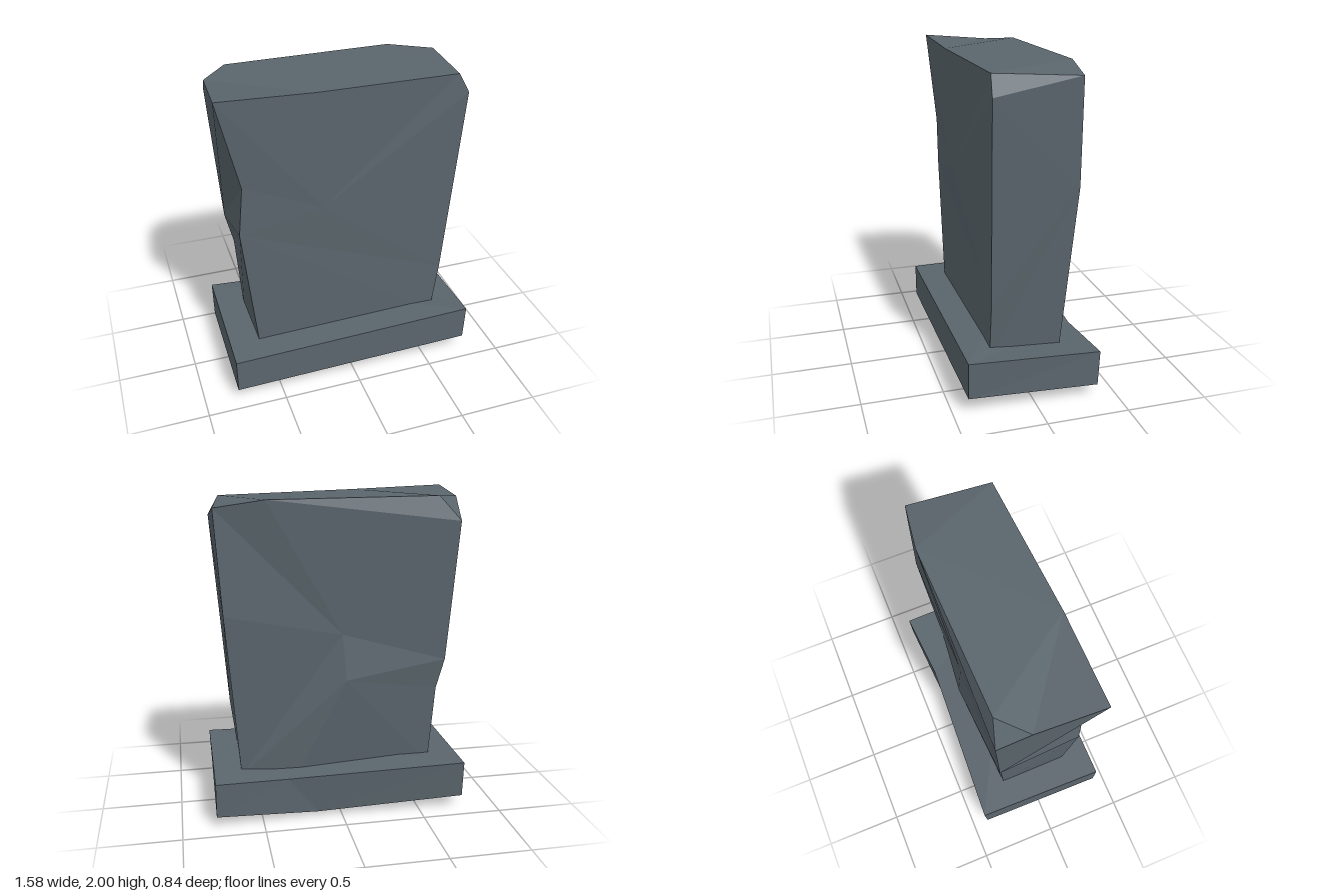
import * as THREE from 'three';

const stone = new THREE.MeshStandardMaterial({ color: 0x5a656c });
stone.name = 'slate grey stone';

// Faceted surface from triangle fans around a hub point
function facets(name, fans) {
  const pos = [];
  for (const { hub, rim, closed } of fans) {
    const n = closed ? rim.length : rim.length - 1;
    for (let i = 0; i < n; i++) pos.push(...hub, ...rim[i], ...rim[(i + 1) % rim.length]);
  }
  const geo = new THREE.BufferGeometry();
  geo.setAttribute('position', new THREE.Float32BufferAttribute(pos, 3));
  geo.computeVertexNormals(); // unshared corners keep every facet flat
  const mesh = new THREE.Mesh(geo, stone);
  mesh.name = name;
  return mesh;
}
const fan = (hub, ...rim) => ({ hub, rim, closed: false });
const disc = (hub, ...rim) => ({ hub, rim, closed: true });

// Rough plinth: two five-sided loops and a blunt underside
function plinth() {
  const t = [[-0.79, 0.3, 0.42], [0.79, 0.33, 0.41], [0.79, 0.29, -0.4], [0.34, 0.275, -0.365], [-0.78, 0.315, -0.42]];
  const q = [[-0.79, 0.08, 0.42], [0.78, 0.1, 0.41], [0.79, 0.07, -0.39], [0.15, 0.03, -0.35], [-0.78, 0.08, -0.4]];
  const fans = [fan(t[1], t[2], t[3], t[4], t[0])];
  for (let i = 0; i < 5; i++) {
    const j = (i + 1) % 5;
    fans.push(fan(q[i], q[j], t[j], t[i]));
  }
  fans.push(disc([0.47, 0, -0.02], ...[...q].reverse()));
  return facets('plinth', fans);
}

// Weathered upright slab, wider at the top, with two chipped corners
function slab() {
  // front outline, anticlockwise from the lower -x corner
  const f = [[-0.595, 0.25, 0.24], [0.605, 0.25, 0.235], [0.65, 0.6, 0.235], [0.745, 1.84, 0.253], [0.68, 1.96, 0.243],
    [-0.2, 1.98, 0.29], [-0.78, 2, 0.293], [-0.65, 1.44, 0.26], [-0.68, 1.12, 0.25]];
  // back outline, anticlockwise from the lower +x corner as seen from behind
  const b = [[0.615, 0.25, -0.2], [0.26, 0.25, -0.235], [-0.6, 0.25, -0.205], [-0.63, 0.77, -0.24], [-0.675, 0.965, -0.265],
    [-0.73, 1.835, -0.315], [-0.6, 1.983, -0.275], [0.44, 1.98, -0.305], [0.74, 1.935, -0.262], [0.7, 1.3, -0.273]];
  const frontBulge = [-0.16, 1.23, 0.265];
  const backDent = [-0.02, 1.155, -0.262];
  const backBulge = [-0.04, 0.87, -0.295];
  const chip = [-0.755, 1.965, -0.12];
  return facets('slab', [
    disc(frontBulge, f[2], f[3], f[4], f[5], f[6], f[7], f[8]),             // front, upper
    fan(f[8], f[0], f[1], f[2]),                                            // front, lower
    disc(backDent, b[4], b[5], b[7], b[8], b[9], b[0], backBulge),          // back, upper
    fan(backBulge, b[0], b[1], b[2], b[3], b[4]),                           // back, lower
    fan(b[5], b[6], b[7]),                                                  // bevel along the back top edge
    fan(f[4], b[8], b[7]),                                                  // top, +x end
    fan(f[5], f[4], b[7], b[6], chip, f[6]),                                // top
    fan(f[3], b[8], f[4]),                                                  // chipped +x corner
    fan(b[5], chip, b[6]),                                                  // chipped -x corner
    fan(b[9], b[8], f[3], f[2], f[1], b[0]),                                // +x side
    fan(f[6], chip, b[5], b[4], f[7]),                                      // -x side, upper
    fan(f[8], f[7], b[4], b[3], b[2], f[0]),                                // -x side, lower
  ]);
}

export function createModel() {
  const group = new THREE.Group();
  group.name = 'gravestone';
  group.add(plinth(), slab());
  return group;
}
